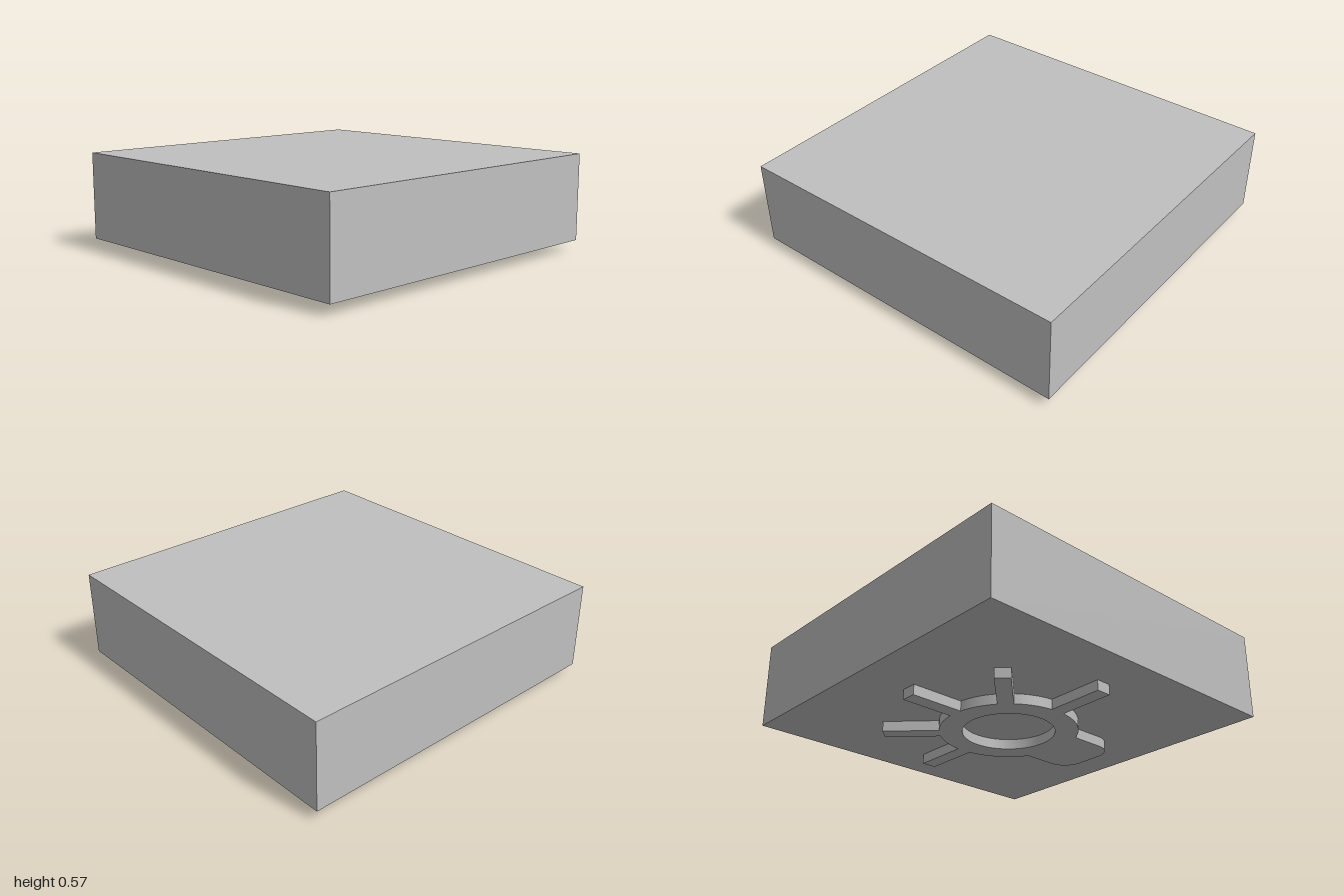
import * as THREE from 'three';
import { toCreasedNormals } from 'three/addons/utils/BufferGeometryUtils.js';

const BASE = 0.06, TOP = 0.57;          // underside and top of the slab
const CZ = 0.025;                       // centre of the emblem along z
const RING = 0.4, HOLE = 0.267;
const SPOKE = 0.045;                    // half width of a spoke
const LOBE = 0.2, LOBE_END = 0.695, LOBE_R = 0.12;

// Ring with five spokes and one rounded lobe, drawn with shape y as model z
function reliefShape() {
  const shape = new THREE.Shape();
  const lobeAngle = Math.acos(LOBE / RING);
  const h = Math.asin(SPOKE / RING);
  let from = lobeAngle;
  shape.moveTo(LOBE, CZ + RING * Math.sin(lobeAngle));

  // spokes at 0, -45, -90, -135 and -180 degrees
  for (let i = 0; i < 5; i++) {
    const a = -i * Math.PI / 4;
    const length = i % 4 === 0 ? 0.738 : 0.722;
    const c = Math.cos(a), s = Math.sin(a);
    const corner = (r, w) => shape.lineTo(r * c - w * s, CZ + r * s + w * c);
    shape.absarc(0, CZ, RING, from, a + h, true);
    corner(length, SPOKE);
    corner(length, -SPOKE);
    from = a - h;
  }
  shape.absarc(0, CZ, RING, from, -Math.PI - lobeAngle, true);

  // lobe with two rounded corners
  const cx = LOBE - LOBE_R, cy = LOBE_END - LOBE_R;
  shape.absarc(-cx, cy, LOBE_R, Math.PI, Math.PI / 2, true);
  shape.absarc(cx, cy, LOBE_R, Math.PI / 2, 0, true);
  shape.closePath();

  // round opening
  const hole = new THREE.Path();
  hole.absarc(0, CZ, HOLE, 0, Math.PI * 2, false);
  shape.holes.push(hole);
  return shape;
}

export function createModel() {
  const group = new THREE.Group();
  const grey = new THREE.MeshStandardMaterial({ color: 0xc0c0c0 });
  grey.name = 'grey';

  // square block
  const slab = new THREE.Mesh(new THREE.BoxGeometry(2, TOP - BASE, 2), grey);
  slab.name = 'slab';
  slab.position.y = (TOP + BASE) / 2;
  group.add(slab);

  // raised emblem on the underside
  let geo = new THREE.ExtrudeGeometry(reliefShape(), { depth: BASE, bevelEnabled: false, curveSegments: 32 });
  geo.rotateX(Math.PI / 2);
  geo.translate(0, BASE, 0);
  geo = toCreasedNormals(geo, Math.PI / 6);
  const relief = new THREE.Mesh(geo, grey);
  relief.name = 'undersideRelief';
  group.add(relief);

  return group;
}
